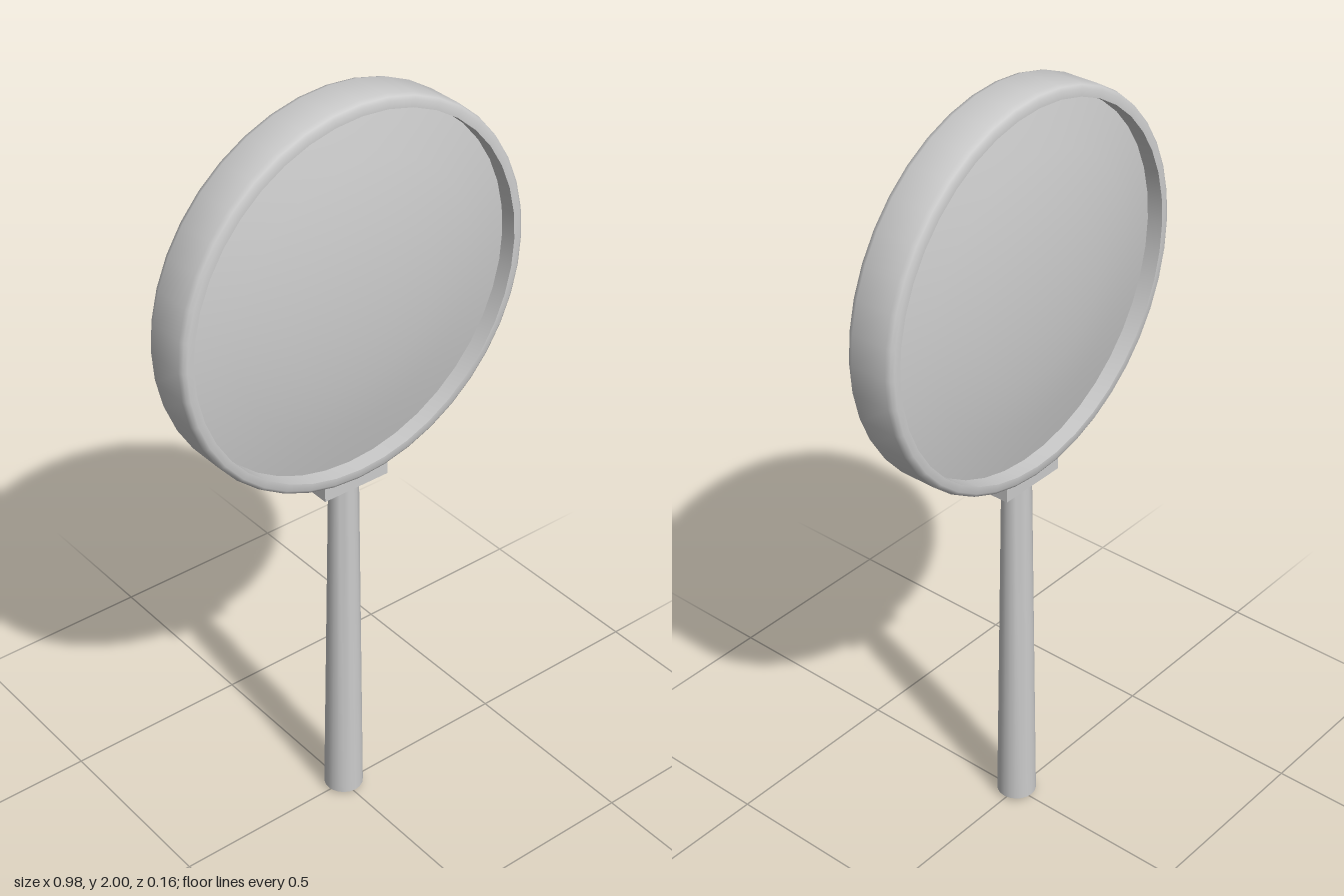
import * as THREE from 'three';
import { toCreasedNormals } from 'three/addons/utils/BufferGeometryUtils.js';

const CENTRE_Y = 1.51;
const material = new THREE.MeshStandardMaterial({ color: 0xcccccc });

function add(group, name, geometry, y = 0) {
  const mesh = new THREE.Mesh(geometry, material);
  mesh.name = name;
  mesh.position.y = y;
  group.add(mesh);
  return mesh;
}

// Spins [radius, height] pairs, listed from bottom to top on the outside
function lathe(points, segments) {
  return new THREE.LatheGeometry(points.map(([r, h]) => new THREE.Vector2(r, h)), segments);
}

export function createModel() {
  const group = new THREE.Group();

  // Rim: a flat band with softened outer edges, its axis turned to z
  const rim = lathe([
    [0.46, -0.065], [0.478, -0.065], [0.486, -0.06], [0.49, -0.048],
    [0.49, 0.048], [0.486, 0.06], [0.478, 0.065], [0.46, 0.065], [0.46, -0.065],
  ], 40).rotateX(Math.PI / 2);
  add(group, 'rim', toCreasedNormals(rim, 0.7), CENTRE_Y);

  // Lens: two shallow domes meeting inside the rim
  const dome = [[0, 0.082], [0.105, 0.0785], [0.21, 0.071], [0.34, 0.05], [0.462, 0.022]];
  const lens = lathe([
    ...dome.map(([r, h]) => [r, -h]),
    ...dome.slice().reverse(),
  ], 40).rotateX(Math.PI / 2);
  add(group, 'lens', toCreasedNormals(lens, 0.7), CENTRE_Y);

  // Mounting plate between rim and handle
  add(group, 'mountingPlate', new THREE.BoxGeometry(0.19, 0.04, 0.1), 1.01);

  // Handle: slightly tapered, with a barely domed butt
  const handle = lathe([[0, 0], [0.035, 0.004], [0.051, 0.011], [0.037, 1.0], [0, 1.0]], 20);
  add(group, 'handle', toCreasedNormals(handle, 0.7));

  return group;
}
